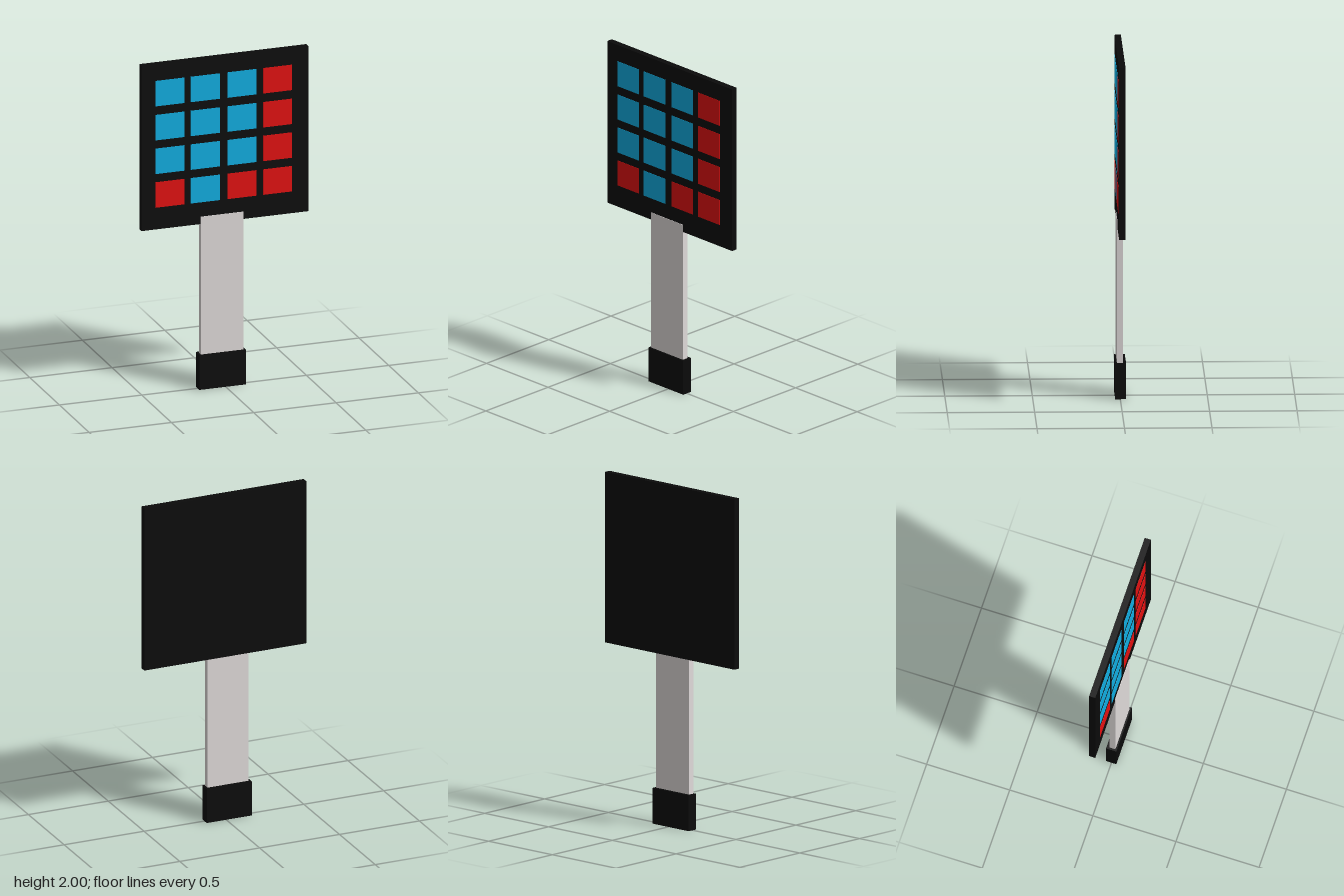
import * as THREE from 'three';

const material = (color) => new THREE.MeshStandardMaterial({ color });

// Box given by its minimum and maximum corners
function block(name, [x0, y0, z0], [x1, y1, z1], mat) {
  const mesh = new THREE.Mesh(new THREE.BoxGeometry(x1 - x0, y1 - y0, z1 - z0), mat);
  mesh.position.set((x0 + x1) / 2, (y0 + y1) / 2, (z0 + z1) / 2);
  mesh.name = name;
  return mesh;
}

export function createModel() {
  const model = new THREE.Group();
  model.name = 'keypad';
  const black = material(0x0b0b0b);
  const blue = material(0x10aee2);
  const red = material(0xe31010);

  // Backing panel, ribbon cable and plug
  model.add(
    block('panel', [-0.507, 1, -0.02], [0.507, 2, 0.017], black),
    block('ribbonCable', [-0.148, 0.15, -0.016], [0.11, 1.045, 0.0195], material(0xe0dbda)),
    block('connector', [-0.16, 0, -0.033], [0.122, 0.21, 0.029], black)
  );

  // Four by four flat keys: right column and bottom corners are red
  const keys = new THREE.Group();
  keys.name = 'keys';
  const columns = [-0.336, -0.121, 0.103, 0.319];
  const rows = [1.823, 1.617, 1.413, 1.209];
  rows.forEach((y, r) => columns.forEach((x, c) => {
    const isRed = c === 3 || (r === 3 && c !== 1);
    keys.add(block(`key${r + 1}${c + 1}`,
      [x - 0.088, y - 0.077, 0.01], [x + 0.088, y + 0.077, 0.019], isRed ? red : blue));
  }));
  model.add(keys);
  return model;
}
